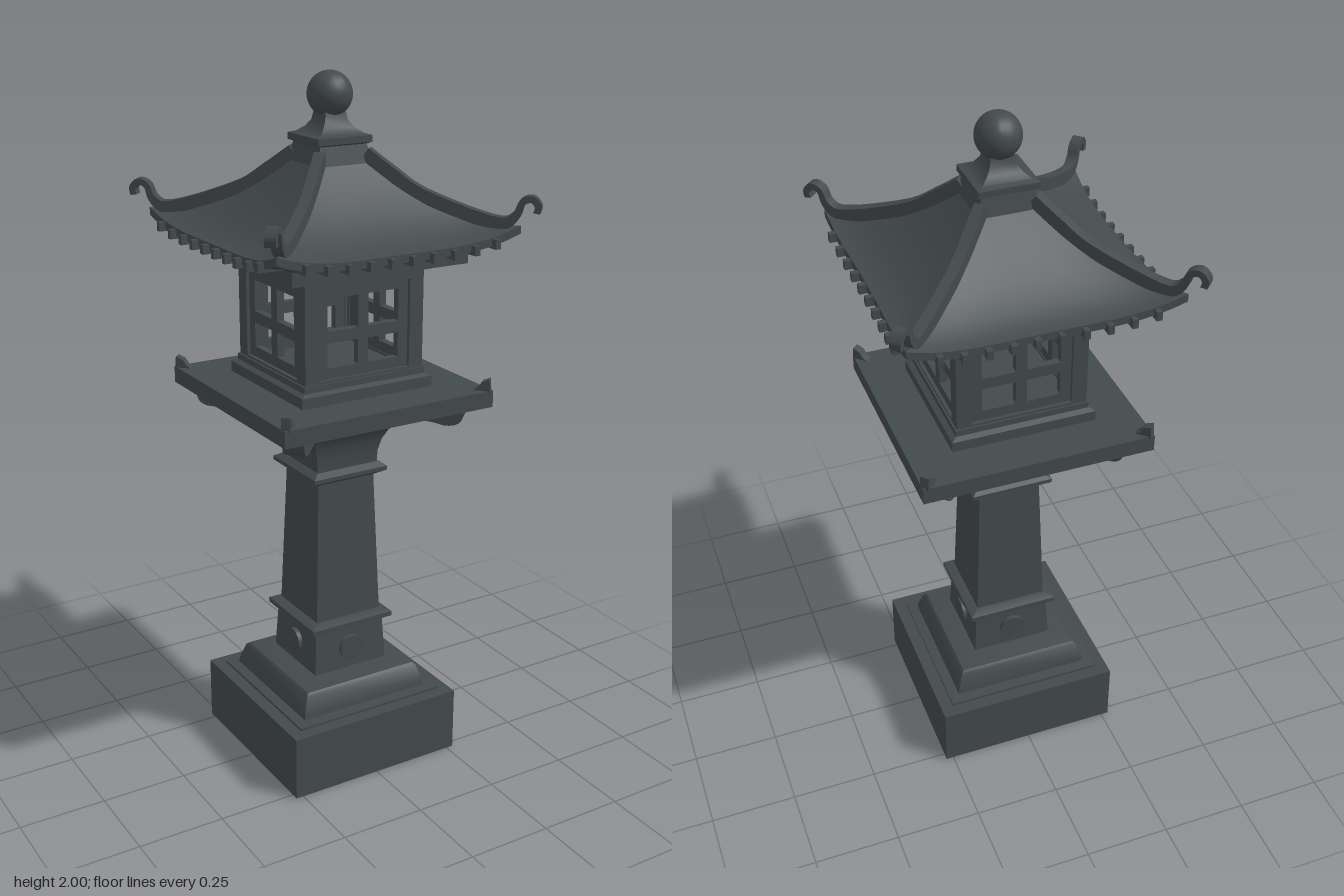
import * as THREE from 'three';
import { toCreasedNormals } from 'three/addons/utils/BufferGeometryUtils.js';

const stone = new THREE.MeshStandardMaterial({ color: 0x434a4a });
const V2 = (p) => new THREE.Vector2(p[0], p[1]);

export function createModel() {
  const model = new THREE.Group();
  model.name = 'stoneLantern';

  const add = (name, geometry, parent = model, crease = 0.5) => {
    const mesh = new THREE.Mesh(toCreasedNormals(geometry, crease), stone);
    mesh.name = name;
    parent.add(mesh);
    return mesh;
  };

  // Square tower from a rising profile of [half width, y]
  const square = (name, profile) => {
    const pts = [[0, profile[0][1]], ...profile, [0, profile[profile.length - 1][1]]];
    const points = pts.map(([h, y]) => new THREE.Vector2(h * Math.SQRT2, y));
    return add(name, new THREE.LatheGeometry(points, 4, Math.PI / 4));
  };

  // Four copies around the y axis
  const around = (name, offset, build) => {
    for (let k = 0; k < 4; k++) {
      const side = new THREE.Group();
      side.name = name + (k + 1);
      side.rotation.y = offset + k * Math.PI / 2;
      build(side);
      model.add(side);
    }
  };

  // Flat shape given thickness and centred on z = 0
  const slab = (shape, depth) =>
    new THREE.ExtrudeGeometry(shape, { depth, bevelEnabled: false }).translate(0, 0, -depth / 2);

  const rect = (x0, x1, y0, y1, Type = THREE.Shape) =>
    new Type([[x0, y0], [x1, y0], [x1, y1], [x0, y1]].map(V2));

  // Pedestal, shaft and platform
  square('baseBlock', [[0.272, 0], [0.272, 0.19]]);
  square('plinth', [[0.235, 0.19], [0.235, 0.197], [0.205, 0.2], [0.203, 0.215],
    [0.188, 0.262], [0.18, 0.27], [0.13, 0.28]]);
  square('lowerShaft', [[0.121, 0.275], [0.113, 0.41]]);
  square('lowerBand', [[0.113, 0.405], [0.134, 0.418], [0.134, 0.432], [0.108, 0.442]]);
  square('shaft', [[0.107, 0.43], [0.091, 0.88]]);
  square('upperBand', [[0.092, 0.865], [0.12, 0.882], [0.12, 0.894], [0.1, 0.906]]);
  square('flaredCapital', [[0.098, 0.9], [0.1, 0.94], [0.108, 0.975], [0.122, 1.005],
    [0.147, 1.032], [0.185, 1.047], [0.19, 1.055], [0.19, 1.095]]);
  square('platform', [[0.285, 1.085], [0.33, 1.097], [0.33, 1.145]]);
  square('fireboxSill', [[0.207, 1.145], [0.207, 1.175], [0.192, 1.182], [0.192, 1.2]]);

  // Round bosses on the lower shaft
  around('bossSide', 0, (side) => {
    add('boss', new THREE.CylinderGeometry(0.037, 0.037, 0.03, 24)
      .rotateX(Math.PI / 2).translate(0, 0.345, 0.113), side);
  });

  // Scroll brackets beneath and upturned ears above the platform corners
  around('platformCorner', Math.PI / 4, (corner) => {
    const scroll = new THREE.Shape();
    scroll.moveTo(0.2, 1.09);
    scroll.lineTo(0.2, 1.045);
    scroll.quadraticCurveTo(0.28, 1.058, 0.33, 1.042);
    scroll.quadraticCurveTo(0.395, 1.035, 0.39, 1.09);
    add('scrollBracket', slab(scroll, 0.06), corner);
    const ear = new THREE.Shape([[0.405, 1.14], [0.46, 1.14], [0.457, 1.178],
      [0.437, 1.17], [0.425, 1.152]].map(V2));
    add('upturnedEar', slab(ear, 0.025), corner);
  });

  // Open firebox with a lattice window on every side
  around('fireboxSide', 0, (side) => {
    const wall = rect(-0.187, 0.187, 1.195, 1.505);
    wall.holes.push(rect(-0.143, 0.143, 1.207, 1.455, THREE.Path));
    add('fireboxWall', slab(wall, 0.035).translate(0, 0, 0.1695), side);
    const lattice = rect(-0.143, 0.143, 1.207, 1.455);
    for (const [x0, x1] of [[-0.112, -0.016], [0.016, 0.112]]) {
      for (const [y0, y1] of [[1.237, 1.307], [1.34, 1.43]]) {
        lattice.holes.push(rect(x0, x1, y0, y1, THREE.Path));
      }
    }
    add('windowLattice', slab(lattice, 0.022).translate(0, 0, 0.166), side);
  });
  square('eaveSlab', [[0.272, 1.5], [0.272, 1.55]]);

  // Concave roof: rows run down the top, over the rim and back underneath
  const lift = (u, t) => 0.04 * t * t * u ** 4;
  const topRows = 14;
  around('roofSide', 0, (side) => {
    const roof = new THREE.PlaneGeometry(1, 1, 20, topRows + 2);
    const pos = roof.attributes.position;
    for (let i = 0; i < pos.count; i++) {
      const u = pos.getX(i) * 2;
      const row = Math.round((0.5 - pos.getY(i)) * (topRows + 2));
      const t = Math.min(row / topRows, 1);
      let h = 0.07 + 0.285 * t + 0.015 * u * u * t;
      let y = 1.57 + 0.205 * (1 - t) ** 1.6 + lift(u, t);
      if (row === topRows + 1) y -= 0.022;
      if (row === topRows + 2) { h = 0.26; y = 1.535; }
      pos.setXYZ(i, u * h, y, h);
    }
    add('roofSlope', roof, side);
    // Rafter ends under the eave
    for (let i = 0; i < 10; i++) {
      const x = (i - 4.5) * 0.064;
      const u = x / 0.36;
      add('rafterEnd', new THREE.BoxGeometry(0.016, 0.026, 0.08)
        .translate(x, 1.553 + lift(u, 1), 0.335 + 0.012 * u * u), side);
    }
  });

  // Hip ridges ending in outward hooks
  const path = new THREE.SplineCurve([[0.1, 1.785], [0.17, 1.735], [0.25, 1.683], [0.396, 1.63],
    [0.475, 1.615], [0.51, 1.637], [0.525, 1.672], [0.55, 1.682], [0.567, 1.665], [0.564, 1.645]].map(V2));
  around('hipRidge', Math.PI / 4, (corner) => {
    const upper = [], lower = [];
    for (let i = 0; i <= 48; i++) {
      const t = i / 48, p = path.getPoint(t), d = path.getTangent(t);
      const w = THREE.MathUtils.lerp(0.018, 0.009, THREE.MathUtils.smoothstep(t, 0.35, 0.65));
      upper.push(new THREE.Vector2(p.x - d.y * w, p.y + d.x * w));
      lower.push(new THREE.Vector2(p.x + d.y * w, p.y - d.x * w));
    }
    add('ridgeWithHook', slab(new THREE.Shape([...lower, ...upper.reverse()]), 0.03), corner);
  });

  // Crown and ball finial
  square('crown', [[0.085, 1.755], [0.072, 1.81], [0.083, 1.815], [0.083, 1.833], [0.066, 1.838],
    [0.048, 1.852], [0.036, 1.87], [0.031, 1.895]]);
  add('ballFinial', new THREE.SphereGeometry(0.062, 32, 20).translate(0, 1.938, 0));

  return model;
}
